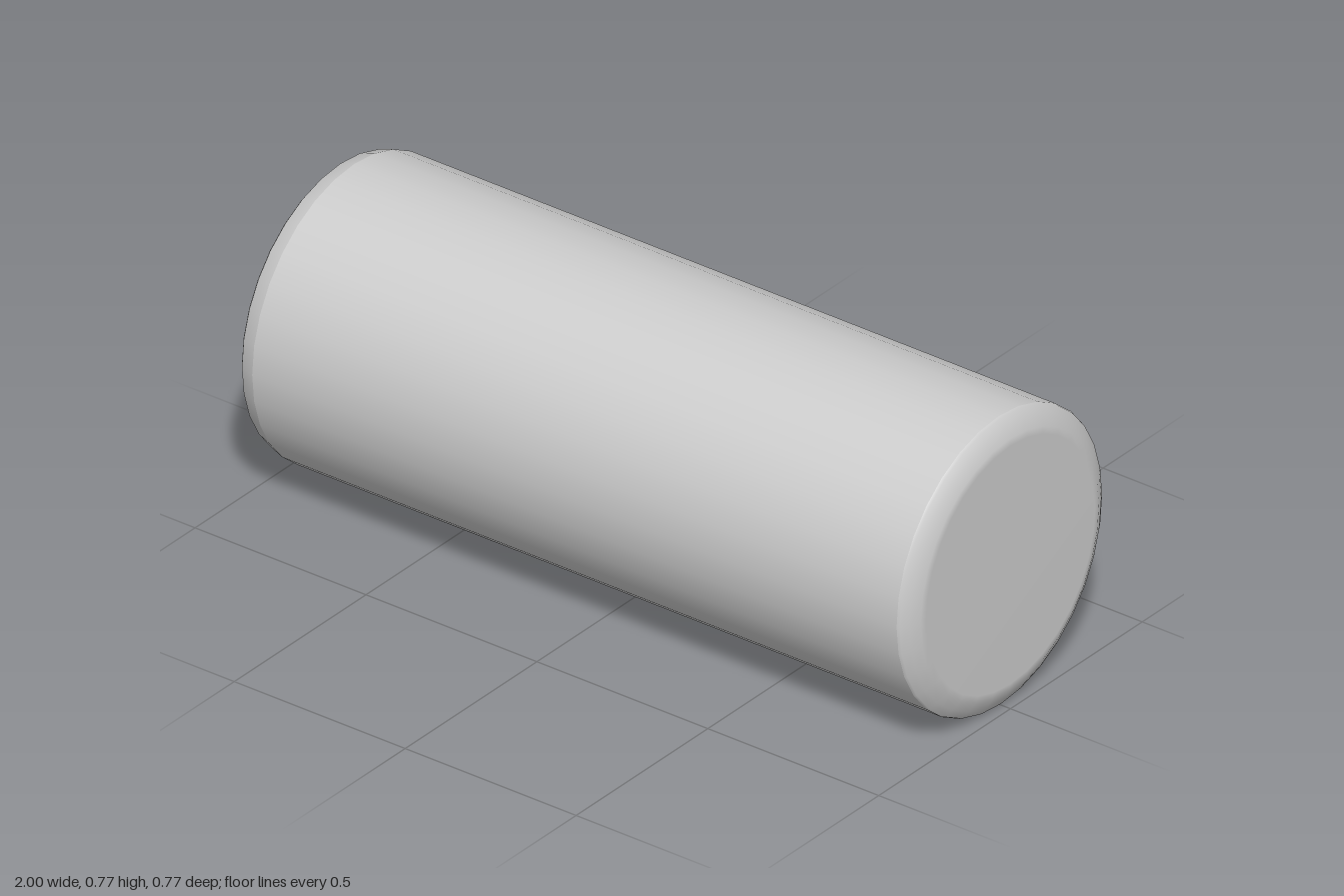
import * as THREE from 'three';

const RADIUS = 0.387;
const SIDES = 32;

export function createModel() {
  const metal = new THREE.MeshStandardMaterial({ color: 0xcccccc });
  metal.name = 'plain grey';

  const model = new THREE.Group();
  model.name = 'batteryCell';

  // Turned part about the long (x) axis; profile is [x, radius], from -x to +x
  function turned(name, profile) {
    const points = profile.map(([x, r]) => new THREE.Vector2(r, x));
    const geometry = new THREE.LatheGeometry(points, SIDES);
    geometry.rotateZ(-Math.PI / 2);
    const mesh = new THREE.Mesh(geometry, metal);
    mesh.name = name;
    mesh.position.y = RADIUS;
    model.add(mesh);
  }

  // Raised contact: shallow pointed cap and its round side
  turned('contactCap', [[-1, 0], [-0.975, 0.217]]);
  turned('contactSide', [[-0.975, 0.217], [-0.95, 0.22], [-0.87, 0.222]]);

  // Hollow ring around the contact
  turned('recess', [[-0.87, 0.222], [-0.865, 0.25], [-0.875, 0.29], [-0.91, 0.315], [-0.955, 0.33]]);

  // Rounded rim and bevel at the contact end
  turned('rim', [[-0.955, 0.33], [-0.967, 0.34], [-0.967, 0.365], [-0.96, 0.374], [-0.92, RADIUS]]);

  // Straight casing
  turned('casing', [[-0.92, RADIUS], [0.965, RADIUS]]);

  // Closed end with a softened edge
  turned('endCap', [[0.965, RADIUS], [0.972, 0.384], [0.985, 0.364], [0.998, 0.338], [1, 0.32], [1, 0]]);

  return model;
}
